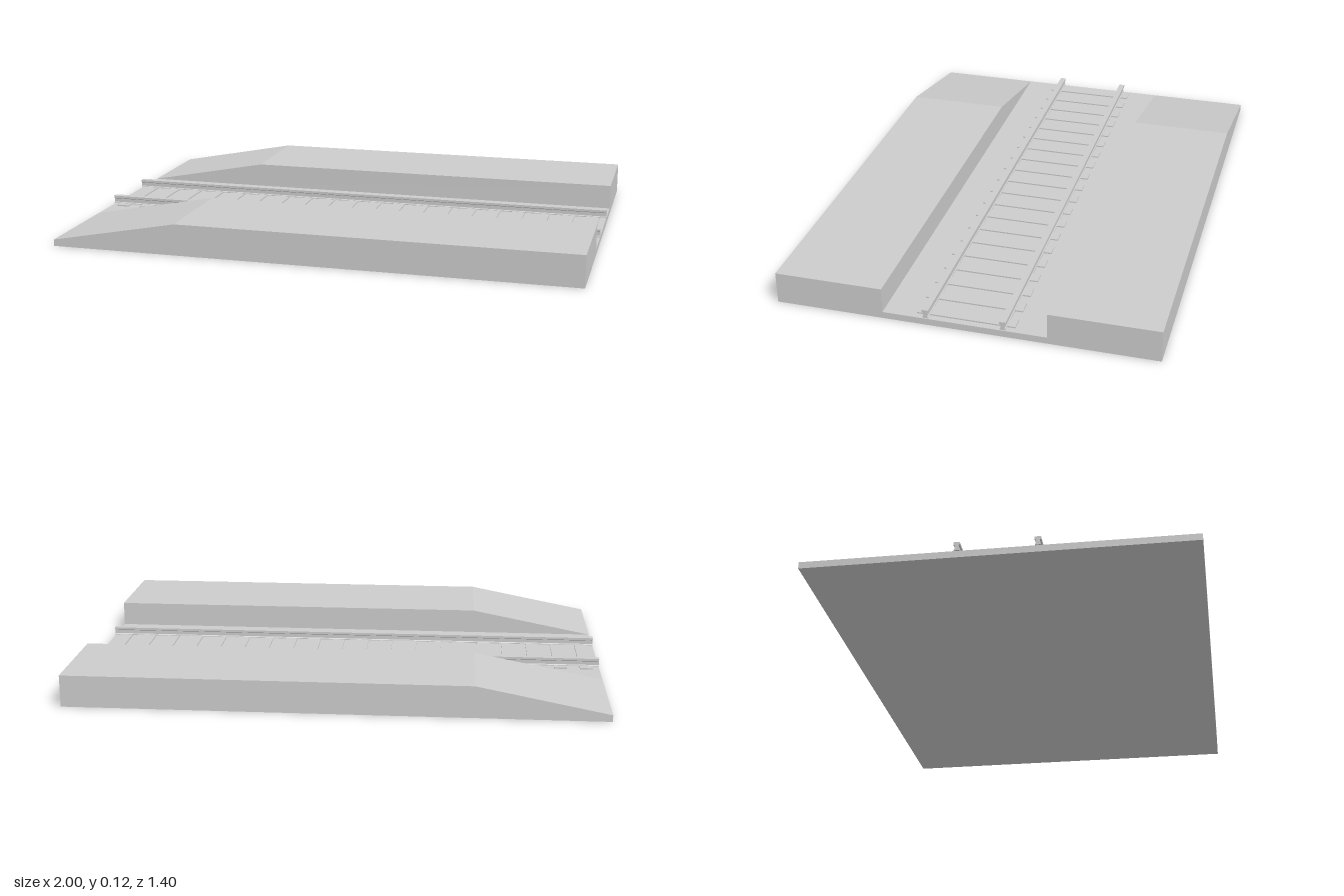
import * as THREE from 'three';

const BED_TOP = 0.025;
const SLEEPERS = 20;

export function createModel() {
  const model = new THREE.Group();
  const material = new THREE.MeshStandardMaterial({ color: 0xcccccc, flatShading: true });

  const add = (name, geometry, x = 0, y = 0, z = 0) => {
    const mesh = new THREE.Mesh(geometry, material);
    mesh.name = name;
    mesh.position.set(x, y, z);
    model.add(mesh);
    return mesh;
  };
  const extrude = (points, depth) => new THREE.ExtrudeGeometry(
    new THREE.Shape(points.map(([x, y]) => new THREE.Vector2(x, y))),
    { depth, bevelEnabled: false });

  // Track bed between the platforms
  add('trackBed', new THREE.BoxGeometry(2, BED_TOP, 0.6), 0, BED_TOP / 2, 0);

  // Platforms with a ramp down to the bed at the -x end
  const platform = extrude([[-1, 0], [1, 0], [1, 0.12], [-0.51, 0.12], [-1, BED_TOP]], 0.4);
  add('frontPlatform', platform, 0, 0, 0.3);
  add('backPlatform', platform, 0, 0, -0.7);

  // Sleepers, evenly spaced
  const sleeper = new THREE.BoxGeometry(0.05, 0.006, 0.36);
  for (let i = 0; i < SLEEPERS; i++) {
    add('sleeper', sleeper, -1 + (i + 0.5) * 2 / SLEEPERS, BED_TOP + 0.002, 0);
  }

  // Rails: foot, narrow web and wide head, mirrored half profile
  const half = [[0.01, 0.028], [0.01, 0.031], [0.007, 0.034], [0.007, 0.048], [0.0115, 0.051], [0.0115, 0.06]];
  const profile = [...half, ...half.map(([x, y]) => [-x, y]).reverse()];
  const rail = extrude(profile, 2).translate(0, 0, -1).rotateY(Math.PI / 2);
  add('frontRail', rail, 0, 0, 0.141);
  add('backRail', rail, 0, 0, -0.141);

  return model;
}
